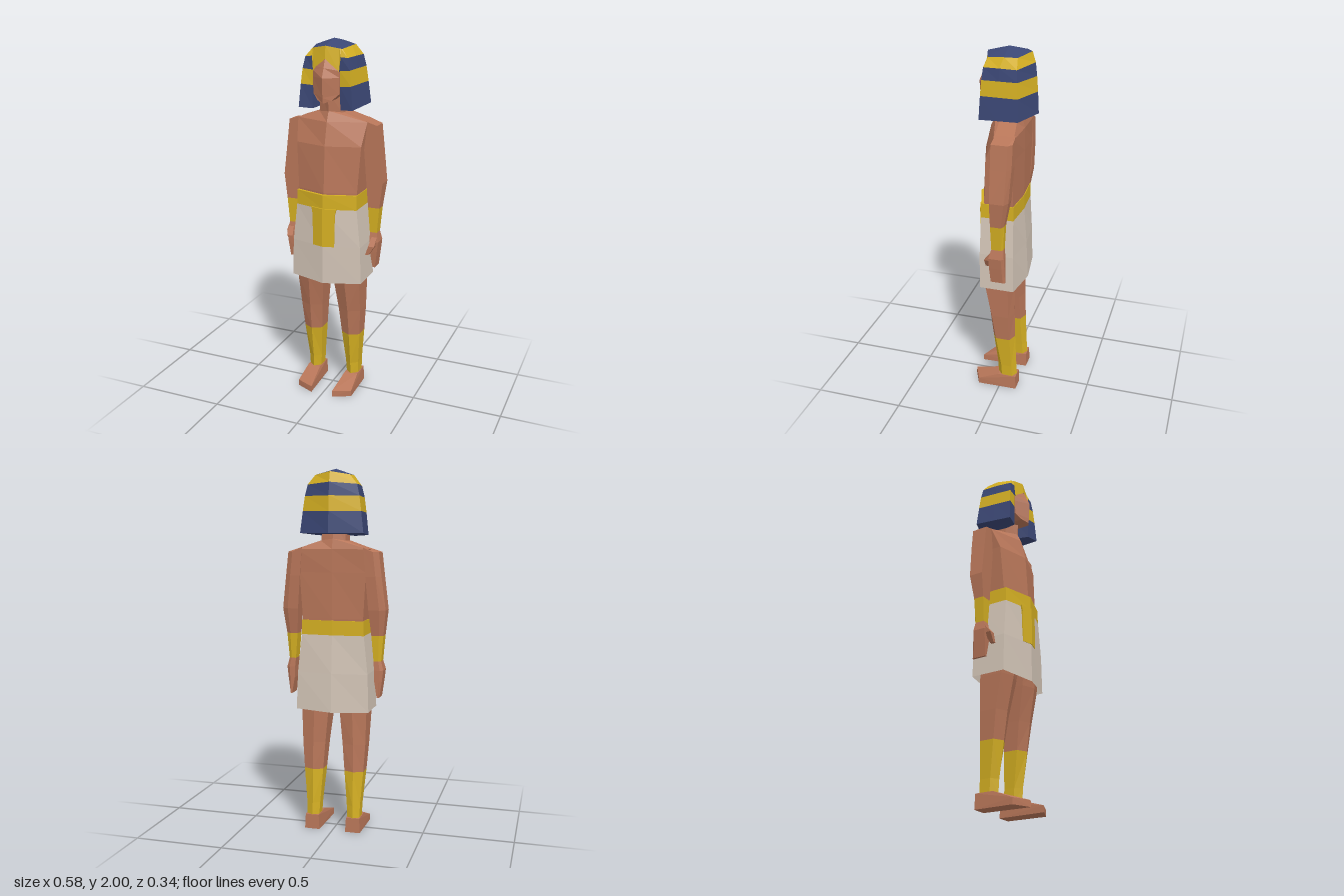
import * as THREE from 'three';
import { ConvexGeometry } from 'three/addons/geometries/ConvexGeometry.js';

const material = (name, color) => {
  const m = new THREE.MeshStandardMaterial({ color, flatShading: true, side: THREE.DoubleSide });
  m.name = name;
  return m;
};

// Skins a stack of [x, y, z] rings with flat faces; caps = [first, last].
function loft(rings, caps = [true, true]) {
  const pos = [];
  const tri = (a, b, c) => pos.push(...a, ...b, ...c);
  const r0 = rings[0], n = r0.length, last = rings[rings.length - 1];
  const meanY = r => r.reduce((s, p) => s + p[1], 0) / n;
  const area = r0.reduce((s, p, i) => {
    const q = r0[(i + 1) % n];
    return s + p[0] * q[2] - q[0] * p[2];
  }, 0);
  const up = Math.sign(meanY(last) - meanY(r0));
  for (let i = 0; i + 1 < rings.length; i++) {
    for (let j = 0; j < n; j++) {
      const k = (j + 1) % n;
      const [a, b, c, d] = [rings[i][j], rings[i][k], rings[i + 1][k], rings[i + 1][j]];
      if (area * up > 0) { tri(a, d, c); tri(a, c, b); } else { tri(a, c, d); tri(a, b, c); }
    }
  }
  const cap = (r, facing) => {
    const flat = r.map(p => new THREE.Vector2(p[0], p[2]));
    for (const [i, j, k] of THREE.ShapeUtils.triangulateShape(flat, [])) {
      const [a, b, c] = [r[i], r[j], r[k]];
      const ny = (b[2] - a[2]) * (c[0] - a[0]) - (b[0] - a[0]) * (c[2] - a[2]);
      if (ny * facing > 0) tri(a, b, c); else tri(a, c, b);
    }
  };
  if (caps[0]) cap(r0, -up);
  if (caps[1]) cap(last, up);
  const g = new THREE.BufferGeometry();
  g.setAttribute('position', new THREE.Float32BufferAttribute(pos, 3));
  g.computeVertexNormals();
  return g;
}

// Closes a half outline, running back to front on +x, into a symmetric ring.
const sym = half => [...half, ...half.filter(p => p[0] > 0).reverse().map(([x, y, z]) => [-x, y, z])];
// Six-sided body section: front ridge, side corners, back ridge.
const body = (y, front, x, sideFront, sideBack, back, sideY = y) =>
  sym([[0, y, back], [x, sideY, sideBack], [x, sideY, sideFront], [0, y, front]]);
// Six-sided leg section.
const leg = (y, xi, xo, zf, zb) => {
  const m = (xi + xo) / 2;
  return [[m, y, zb], [xo, y, zb + 0.02], [xo, y, zf - 0.03], [m, y, zf], [xi, y, zf - 0.03], [xi, y, zb + 0.02]];
};
// Arm section with a chamfered outer back corner.
const arm = (y, xi, xo, zf, zb, yi = y) => [
  [xi, yi, zb], [xo - (xo - xi) * 0.35, y, zb], [xo, y, zb * 0.8], [xo, y, zf], [xi, yi, zf],
];

export function createModel() {
  const skin = material('skin', 0xb87659);
  const gold = material('gold', 0xd4af22);
  const blue = material('blue cloth', 0x3b4775);
  const linen = material('linen', 0xd2c4b6);

  const model = new THREE.Group();
  model.name = 'figure';
  const add = (name, geometry, mat, parent = model) => {
    const mesh = new THREE.Mesh(geometry, mat);
    mesh.name = name;
    parent.add(mesh);
  };

  // Torso, neck and face
  add('torso', loft([
    body(1.12, 0.125, 0.165, 0.075, -0.08, -0.095),
    body(1.2, 0.13, 0.17, 0.075, -0.085, -0.098),
    body(1.45, 0.115, 0.185, 0.06, -0.09, -0.1),
    body(1.575, 0.085, 0.2, 0.01, -0.095, -0.1),
    body(1.63, 0.06, 0.07, 0.02, -0.075, -0.085, 1.62),
  ]), skin);
  add('neck', loft([
    body(1.6, 0.06, 0.07, 0.02, -0.07, -0.085),
    body(1.74, 0.07, 0.058, 0.03, -0.06, -0.07),
  ]), skin);
  add('head', loft([
    body(1.68, 0.138, 0.04, 0.115, -0.02, -0.05, 1.693),
    body(1.71, 0.141, 0.072, 0.092, -0.03, -0.06, 1.725),
    body(1.81, 0.147, 0.075, 0.092, -0.03, -0.06),
    body(1.86, 0.125, 0.074, 0.092, -0.03, -0.06, 1.845),
    body(1.91, 0.104, 0.07, 0.088, -0.03, -0.06, 1.865),
  ]), skin);

  // Striped headdress, apex to hem
  const headdress = new THREE.Group();
  headdress.name = 'headdress';
  model.add(headdress);
  const crown = sym([[0, 1.98, -0.135], [0.095, 1.965, -0.085], [0.1, 1.965, -0.015],
    [0.083, 1.955, 0.072], [0.077, 1.955, 0.076], [0.07, 1.957, 0.08], [0, 1.97, 0.1]]);
  const brow = sym([[0, 1.925, -0.152], [0.136, 1.915, -0.092], [0.13, 1.915, 0],
    [0.118, 1.912, 0.088], [0.08, 1.915, 0.09], [0.073, 1.84, 0.094], [0, 1.905, 0.107]]);
  // Lower rings are notched at the front to leave room for the face
  const hood = (yBack, yFront, back, xb, zb, xf, zf, inner) => sym([[0, yBack, back], [xb, yBack, zb],
    [(xb + xf) / 2, (yBack + yFront) / 2, 0], [xf, yFront, zf], [inner, yFront - 0.005, 0.09],
    [0.062, yFront, 0.01], [0, yFront, 0]]);
  const temple = hood(1.855, 1.85, -0.16, 0.15, -0.098, 0.132, 0.094, 0.076);
  const ear = hood(1.775, 1.77, -0.166, 0.161, -0.103, 0.141, 0.099, 0.077);
  const hem = hood(1.66, 1.648, -0.172, 0.175, -0.109, 0.152, 0.105, 0.079);
  const apex = crown.map(() => [0, 2, -0.015]);
  add('crown', loft([crown, apex], [false, false]), blue, headdress);
  [[brow, crown], [temple, brow], [ear, temple], [hem, ear]].forEach((pair, i) =>
    add('headdressStripe', loft(pair, [i === 3, false]), i % 2 ? blue : gold, headdress));

  // Kilt, belt and apron
  const waist = body(1.11, 0.144, 0.175, 0.092, -0.088, -0.1);
  add('kilt', loft([
    body(0.685, 0.147, 0.205, 0.095, -0.097, -0.125, 0.692),
    body(0.9, 0.147, 0.198, 0.095, -0.093, -0.115),
    waist,
  ], [false, true]), linen);
  add('belt', loft([waist, body(1.19, 0.145, 0.173, 0.09, -0.088, -0.1)]), gold);
  const panel = (y, x) => [[x, y, 0.151 - x * 0.28], [0, y, 0.151], [-x, y, 0.151 - x * 0.28],
    [-x, y, 0.143 - x * 0.28], [0, y, 0.143], [x, y, 0.143 - x * 0.28]];
  add('apron', loft([panel(0.9, 0.062), panel(1.08, 0.065), panel(1.115, 0.073)]), gold);

  // Limbs, built on the left and mirrored
  for (const [side, s] of [['left', 1], ['right', -1]]) {
    const limb = (part, rings, mat) =>
      add(side + part, loft(rings.map(r => r.map(([x, y, z]) => [s * x, y, z]))), mat);

    const knee = leg(0.345, 0.062, 0.17, 0.045, -0.085);
    limb('Leg', [leg(0.78, 0.025, 0.185, 0.11, -0.078), leg(0.69, 0.032, 0.185, 0.1, -0.08),
      leg(0.5, 0.05, 0.18, 0.065, -0.081), knee], skin);
    limb('Greave', [knee, leg(0.15, 0.078, 0.154, 0.018, -0.093), leg(0.08, 0.082, 0.152, 0.014, -0.097)], gold);
    const foot = [[0.165, 0, 0.125], [0.065, 0, 0.17], [0.165, 0.035, 0.125], [0.065, 0.035, 0.168],
      [0.075, 0, -0.1], [0.16, 0, -0.1], [0.08, 0.082, -0.098], [0.156, 0.082, -0.098],
      [0.08, 0.082, 0.015], [0.156, 0.082, 0.005]];
    add(side + 'Foot', new ConvexGeometry(foot.map(([x, y, z]) => new THREE.Vector3(s * x, y, z))), skin);

    const forearm = arm(1.11, 0.21, 0.274, 0.01, -0.06);
    const wrist = arm(0.97, 0.222, 0.262, 0.008, -0.055);
    limb('Arm', [arm(1.56, 0.17, 0.253, 0.01, -0.098, 1.585), arm(1.43, 0.183, 0.268, 0.01, -0.096),
      arm(1.25, 0.198, 0.29, 0.01, -0.085), forearm], skin);
    limb('Cuff', [forearm, wrist], gold);
    limb('Hand', [wrist, arm(0.92, 0.226, 0.275, 0.022, -0.06), arm(0.86, 0.228, 0.268, 0.02, -0.062),
      arm(0.77, 0.243, 0.256, 0.015, -0.065)], skin);
    const thumb = (y, x0, x1, z0, z1) => [[x0, y, z0], [x1, y, z0], [x1, y, z1], [x0, y, z1]];
    limb('Thumb', [thumb(0.945, 0.235, 0.265, -0.01, 0.015), thumb(0.9, 0.228, 0.262, 0.01, 0.05),
      thumb(0.85, 0.212, 0.23, 0.028, 0.05)], skin);
  }
  return model;
}
